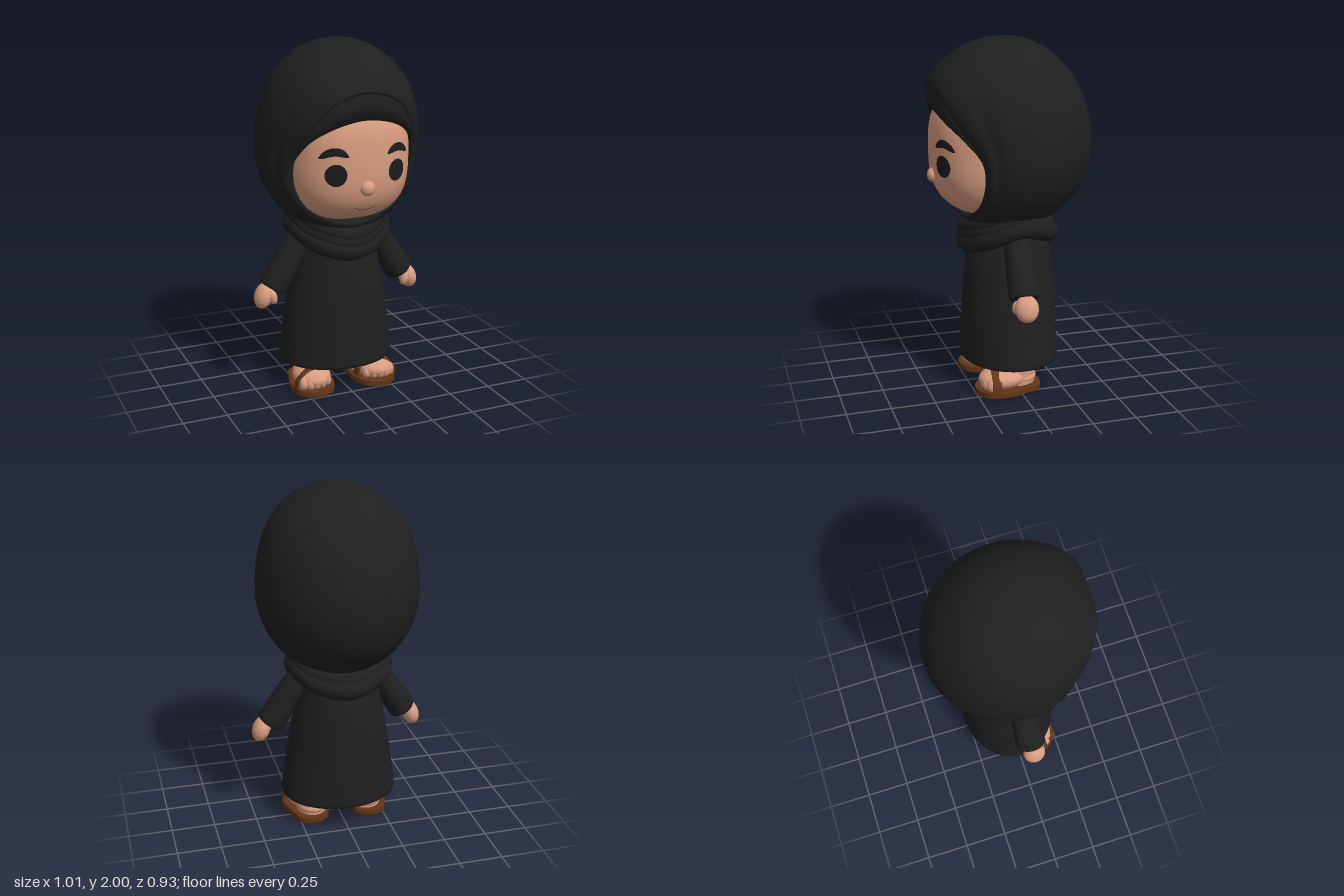
import * as THREE from 'three';

const V = (x, y, z) => new THREE.Vector3(x, y, z);
const mat = (name, color, side = THREE.FrontSide) => {
  const m = new THREE.MeshStandardMaterial({ color, side });
  m.name = name;
  return m;
};

// Skin a grid of points; each row is an array of Vector3
function loft(rows, closed = true) {
  const n = rows[0].length, pos = [], idx = [];
  rows.forEach(r => r.forEach(p => pos.push(p.x, p.y, p.z)));
  for (let r = 0; r < rows.length - 1; r++) {
    for (let c = 0; c < (closed ? n : n - 1); c++) {
      const d = (c + 1) % n, a = r * n + c, b = r * n + d, e = a + n, f = b + n;
      idx.push(a, e, f, a, f, b);
    }
  }
  const g = new THREE.BufferGeometry();
  g.setAttribute('position', new THREE.Float32BufferAttribute(pos, 3));
  g.setIndex(idx);
  g.computeVertexNormals();
  return g;
}

// Move every vertex of a geometry by a rule
function warp(g, rule) {
  const p = g.attributes.position, v = V(0, 0, 0);
  for (let i = 0; i < p.count; i++) {
    rule(v.fromBufferAttribute(p, i));
    p.setXYZ(i, v.x, v.y, v.z);
  }
  g.computeVertexNormals();
  return g;
}

// Rounded-box head: y exponent N, horizontal exponent M
const HEAD = { y: 1.385, z: 0.08, rx: 0.355, ry: 0.36, rz: 0.362, N: 2.9, M: 2.4 };
function faceZ(x, y) {
  const k = Math.max(0, 1 - Math.abs((y - HEAD.y) / HEAD.ry) ** HEAD.N) ** (HEAD.M / HEAD.N);
  return HEAD.z + HEAD.rz * Math.max(0, k - Math.abs(x / HEAD.rx) ** HEAD.M) ** (1 / HEAD.M);
}

// Left half of a symmetric loop, listed top to bottom, made into a closed curve
// that starts at the model's left side and runs over the top
function mirrorLoop(half) {
  const side = half.length >> 1;
  const left = half.slice(0, side + 1).reverse();
  const right = half.slice(1).map(p => V(-p.x, p.y, p.z));
  const under = half.slice(side + 1, -1).reverse();
  return new THREE.CatmullRomCurve3([...left, ...right, ...under], true);
}

export function createModel() {
  const model = new THREE.Group();
  const cloth = mat('black cloth', 0x1f1f1f, THREE.DoubleSide);
  const skin = mat('skin', 0xd89c80);
  const dark = mat('eye black', 0x1d1c1d);
  const leather = mat('brown leather', 0x623617, THREE.DoubleSide);
  const lip = mat('mouth line', 0x9c5f4b);

  const add = (name, geo, material, parent = model) => {
    const m = new THREE.Mesh(geo, material);
    m.name = name;
    parent.add(m);
    return m;
  };
  const ball = (name, parent, p, s, rz = 0) => {
    const m = add(name, new THREE.SphereGeometry(1, 24, 18), skin, parent);
    m.position.set(...p);
    m.scale.set(...s);
    m.rotation.z = rz;
    return m;
  };

  // Head
  add('head', warp(new THREE.SphereGeometry(1, 48, 36), v => {
    const h = (Math.abs(v.x) ** HEAD.M + Math.abs(v.z) ** HEAD.M) ** (1 / HEAD.M);
    const k = (h ** HEAD.N + Math.abs(v.y) ** HEAD.N) ** (-1 / HEAD.N);
    v.set(v.x * k * HEAD.rx, HEAD.y + v.y * k * HEAD.ry, HEAD.z + v.z * k * HEAD.rz);
  }), skin);
  ball('nose', model, [0, 1.25, 0.43], [0.042, 0.042, 0.036]);

  // Face details laid on the head surface
  const strip = (cx, half, centre, thick) => warp(new THREE.PlaneGeometry(2, 2, 20, 4), v => {
    const x = cx + v.x * half, y = centre(v.x) + v.y * thick * (1 - 0.85 * v.x ** 4);
    v.set(x, y, faceZ(x, y) + 0.008);
  });
  for (const s of [1, -1]) {
    add('eye', warp(new THREE.RingGeometry(0.001, 1, 28, 4), v => {
      const x = s * 0.175 + v.x * 0.055, y = 1.332 + v.y * 0.06;
      v.set(x, y, faceZ(x, y) + 0.009);
    }), dark);
    add('eyebrow', strip(s * 0.183, 0.072, t => 1.457 - 0.03 * t * t - 0.004 * s * t, 0.022), dark);
  }
  add('mouth', strip(0, 0.07, t => 1.122 + 0.024 * t * t, 0.004), lip);

  // Headscarf hood: back pole, widest outline, then in to the face opening
  const rim = mirrorLoop([V(0, 1.76, 0.437), V(0.17, 1.71, 0.428), V(0.29, 1.56, 0.355),
    V(0.348, 1.36, 0.24), V(0.32, 1.2, 0.23), V(0.19, 1.065, 0.255), V(0, 1.015, 0.275)]);
  const COLS = 72, rows = [];
  const ring = f => Array.from({ length: COLS }, (_, i) => {
    const a = i / COLS * Math.PI * 2, o = rim.getPoint(i / COLS), up = Math.sin(a) > 0;
    const k = up ? (Math.abs(Math.cos(a)) ** 2.15 + Math.sin(a) ** 2.15) ** (-1 / 2.15) : 1;
    return f(V(0.457 * Math.cos(a) * k, Math.sin(a) * k * (up ? 0.6 : 0.48), 0), o, a);
  });
  for (let i = 0; i <= 14; i++) {
    const t = i / 14 * Math.PI / 2;
    rows.push(ring(s => V(s.x * Math.sin(t), 1.4 + s.y * Math.sin(t), 0.02 - 0.487 * Math.cos(t))));
  }
  for (let i = 1; i <= 20; i++) {
    const u = i / 20, c = Math.cos(u * Math.PI / 2), w = Math.sin(u * Math.PI / 2);
    rows.push(ring((s, o, a) => {
      // shallow fold down each side, flatter slope above the forehead
      const dip = 1 - 0.035 * Math.cos(a) ** 2 * Math.exp(-(((u - 0.5) / 0.1) ** 2));
      const drop = c ** (1 + 0.5 * Math.max(0, Math.sin(a)) ** 2);
      return V((o.x + (s.x - o.x) * c) * dip, o.y + (1.4 + s.y - o.y) * drop, 0.02 + (o.z - 0.02) * w);
    }));
  }
  for (const [k, dz] of [[0.97, -0.012], [0.95, -0.1]]) {
    rows.push(ring((s, o) => V(o.x * k, 1.38 + (o.y - 1.38) * k, o.z + dz)));
  }
  add('headscarf hood', loft(rows.reverse()), cloth);

  // Under-cap across the forehead
  const brow = mirrorLoop([V(0, 1.613, 0), V(0.18, 1.575, 0), V(0.295, 1.49, 0), V(0.346, 1.33, 0),
    V(0.3, 1.2, 0), V(0.2, 1.1, 0), V(0, 1, 0)]);
  const cap = [[], [], [], []];
  for (let i = 0; i <= 36; i++) {
    const o = rim.getPoint(i / 72), l = brow.getPoint(i / 72);
    l.z = faceZ(l.x, l.y) + 0.024;
    o.multiply(V(1.01, 1.005, 1)).setZ(o.z - 0.012);
    cap[0].push(V(l.x, l.y, l.z - 0.06));
    cap[1].push(l);
    cap[2].push(l.clone().lerp(o, 0.5).add(V(0, 0, 0.016)));
    cap[3].push(o);
  }
  add('forehead cap', loft(cap, false), cloth);

  // Draped scarf folds around the neck: front, side and back points
  const fold = (name, front, side, back, r) => {
    const d = 0.71;
    const half = [[0, ...front], [side[0] * d, (front[0] + side[1]) / 2 - 0.012, front[1] * 0.74],
      side, [side[0] * d, (back[0] + side[1]) / 2, back[1] * 0.74], [0, ...back]];
    const pts = half.map(p => V(...p));
    half.slice(1, -1).reverse().forEach(p => pts.push(V(-p[0], p[1], p[2])));
    add(name, new THREE.TubeGeometry(new THREE.CatmullRomCurve3(pts, true), 72, r, 14, true), cloth);
  };
  fold('upper scarf fold', [0.945, 0.24], [0.235, 1.06, 0.04], [0.98, -0.165], 0.05);
  fold('middle scarf fold', [0.9, 0.235], [0.24, 1.015, 0.015], [0.93, -0.205], 0.055);
  fold('lower scarf fold', [0.85, 0.237], [0.252, 0.972, 0], [0.882, -0.225], 0.059);

  // Long dress: height, half width, half depth
  const dress = [[0.2, 0.001, 0.001], [0.185, 0.3, 0.25], [0.16, 0.325, 0.272], [0.16, 0.335, 0.281],
    [0.18, 0.338, 0.283], [0.4, 0.308, 0.272], [0.6, 0.274, 0.259], [0.8, 0.235, 0.24],
    [0.92, 0.2, 0.2], [1.02, 0.14, 0.14], [1.05, 0.001, 0.001]];
  add('dress', loft(dress.map(([y, rx, rz]) => Array.from({ length: 56 }, (_, i) => {
    const a = i / 56 * Math.PI * 2;
    return V(rx * Math.cos(a), y, rz * Math.sin(a));
  }))), cloth);

  for (const s of [1, -1]) {
    // Sleeve: turned profile running from cuff to shoulder
    const arm = new THREE.Group();
    arm.name = s > 0 ? 'leftArm' : 'rightArm';
    model.add(arm);
    const profile = [[0, 0.03], [0.062, 0.02], [0.072, 0], [0.08, 0.008], [0.081, 0.03], [0.078, 0.15],
      [0.073, 0.28], [0.062, 0.35], [0.035, 0.385], [0, 0.395]].map(p => new THREE.Vector2(...p));
    const sleeve = add('sleeve', new THREE.LatheGeometry(profile, 28), cloth, arm);
    sleeve.position.set(s * 0.4, 0.615, 0.025);
    sleeve.quaternion.setFromUnitVectors(V(0, 1, 0), V(s * -0.54, 0.84, -0.03).normalize());
    sleeve.scale.z = 1.08;
    // Hand with thumb
    ball('hand', arm, [s * 0.45, 0.578, 0.03], [0.05, 0.076, 0.066], s * 0.35);
    ball('thumb', arm, [s * 0.41, 0.576, 0.072], [0.025, 0.042, 0.03], s * -0.2);

    // Foot and sandal
    const foot = new THREE.Group();
    foot.name = s > 0 ? 'leftFoot' : 'rightFoot';
    foot.position.set(s * 0.185, 0, 0.06);
    foot.rotation.y = s * 0.1;
    model.add(foot);
    const ankle = add('ankle', new THREE.CylinderGeometry(0.09, 0.088, 0.2, 28), skin, foot);
    ankle.position.set(s * -0.012, 0.13, -0.064);
    ankle.scale.z = 1.18;
    ball('heel', foot, [s * -0.012, 0.07, -0.07], [0.091, 0.05, 0.106]);
    ball('instep', foot, [0, 0.08, 0.03], [0.108, 0.064, 0.142]);
    for (let i = 0; i < 5; i++) {
      const x = -0.072 + i * 0.036, r = 0.035 - i * 0.002;
      ball('toe', foot, [-s * x, 0.065, 0.138 - 4.5 * x * x - i * 0.002], [r * 0.85, r * 1.2, r * 1.1]);
    }
    const outline = new THREE.Shape();
    outline.setFromPoints(new THREE.CatmullRomCurve3([[0, 0.188], [0.09, 0.15], [0.124, 0.05], [0.105, -0.07],
      [0.08, -0.16], [0, -0.19], [-0.08, -0.16], [-0.105, -0.07], [-0.124, 0.05], [-0.09, 0.15]]
      .map(([x, z]) => V(x, -z, 0)), true).getPoints(60));
    const sole = add('sandal sole', new THREE.ExtrudeGeometry(outline, {
      depth: 0.022, bevelSize: 0.004, bevelThickness: 0.008, bevelSegments: 2 }), leather, foot);
    sole.rotation.x = -Math.PI / 2;
    sole.position.y = 0.008;
    // Strap arching over the foot, slanting back towards the inner side
    const section = [[-0.5, 0.94], [-0.5, 1], [0, 1.03], [0.5, 1], [0.5, 0.94]];
    add('sandal strap', loft(section.map(([k, g]) => Array.from({ length: 25 }, (_, i) => {
      const a = i / 24 * Math.PI;
      return V(0.115 * g * Math.cos(a), 0.035 + 0.108 * g * Math.sin(a), 0.08 + k * 0.052 + s * 0.025 * Math.cos(a));
    })).reverse(), false), leather, foot);
  }
  return model;
}
